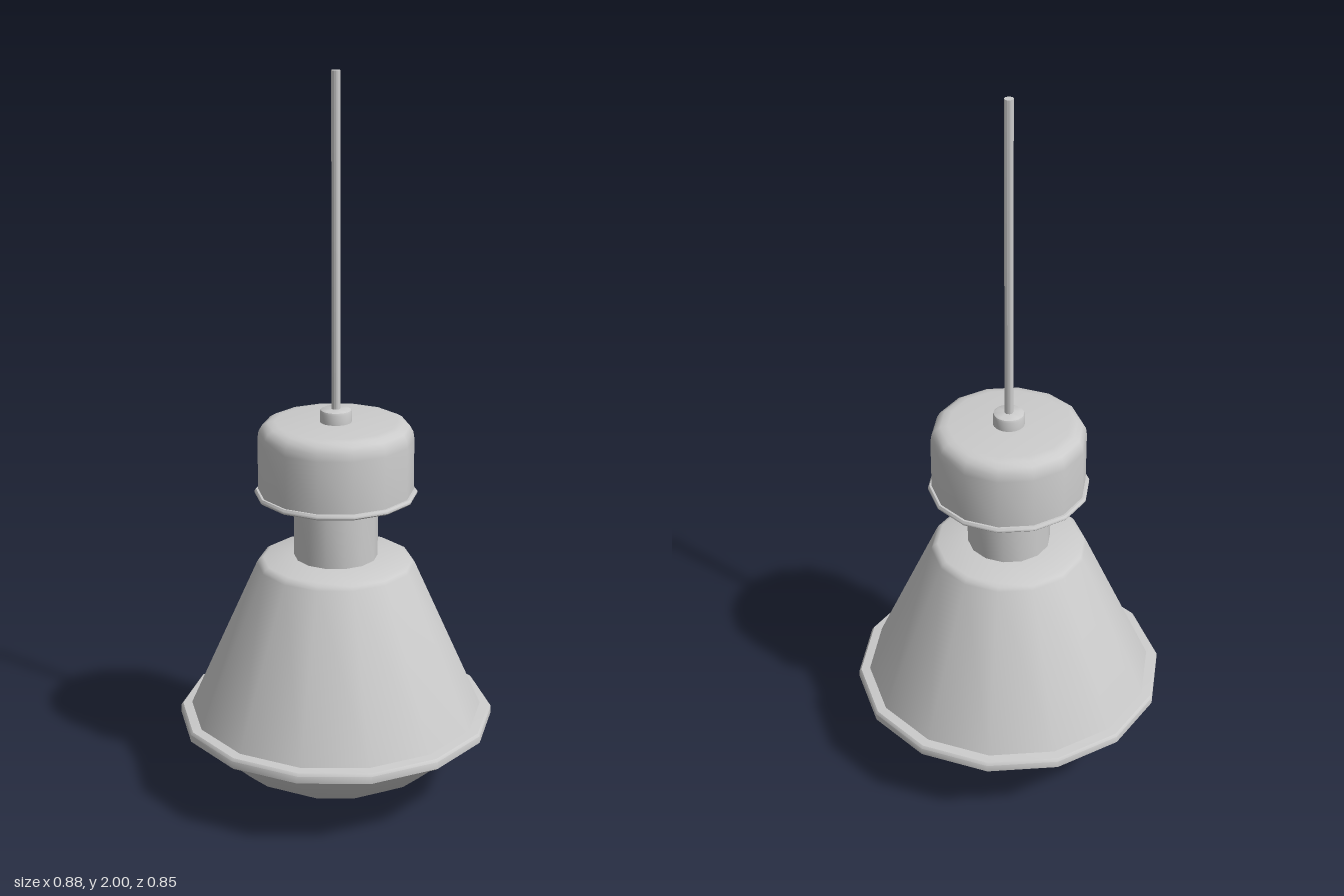
import * as THREE from 'three';
import { toCreasedNormals } from 'three/addons/utils/BufferGeometryUtils.js';

const material = new THREE.MeshStandardMaterial({ color: 0xcccccc, side: THREE.DoubleSide });

// Turns a profile of [radius, height] pairs, listed from bottom to top, with a corner on +x
function turned(name, profile, sides = 14) {
  const points = profile.map(([r, y]) => new THREE.Vector2(r, y));
  const lathe = new THREE.LatheGeometry(points, sides, Math.PI / 2);
  const mesh = new THREE.Mesh(toCreasedNormals(lathe, THREE.MathUtils.degToRad(40)), material);
  mesh.name = name;
  return mesh;
}

export function createModel() {
  const lamp = new THREE.Group();
  lamp.name = 'pendantLamp';

  // Shallow spherical glass below the shade
  const glass = [];
  const radius = 0.512, sweep = Math.asin(0.41 / radius), steps = 6;
  for (let i = 0; i <= steps; i++) {
    const a = (sweep * i) / steps;
    glass.push([radius * Math.sin(a), radius * (1 - Math.cos(a))]);
  }
  lamp.add(turned('glassDome', glass));

  // Rolled rim holding the glass
  lamp.add(turned('shadeRim', [
    [0.405, 0.203], [0.432, 0.203], [0.438, 0.208], [0.438, 0.228], [0.432, 0.235], [0.405, 0.238],
  ]));

  // Conical shade with a softened, nearly flat shoulder
  lamp.add(turned('shade', [
    [0.41, 0.23], [0.218, 0.662], [0.212, 0.672], [0.2, 0.678], [0.11, 0.686],
  ]));

  lamp.add(turned('neck', [[0.115, 0.68], [0.115, 0.868]]));

  // Housing cap with a thin bottom flange and rounded top edge
  lamp.add(turned('housingFlange', [
    [0.11, 0.862], [0.218, 0.862], [0.222, 0.866], [0.222, 0.871], [0.218, 0.876], [0.208, 0.876],
  ]));
  lamp.add(turned('housing', [
    [0.212, 0.874], [0.212, 1.02], [0.209, 1.04], [0.2, 1.056], [0.185, 1.065], [0.165, 1.068], [0, 1.068],
  ]));

  // Cord grip and hanging cord
  lamp.add(turned('cordGrip', [
    [0.043, 1.066], [0.043, 1.095], [0.041, 1.101], [0.035, 1.104], [0, 1.104],
  ], 24));
  lamp.add(turned('cord', [[0.012, 1.1], [0.012, 2], [0, 2]], 12));

  return lamp;
}
